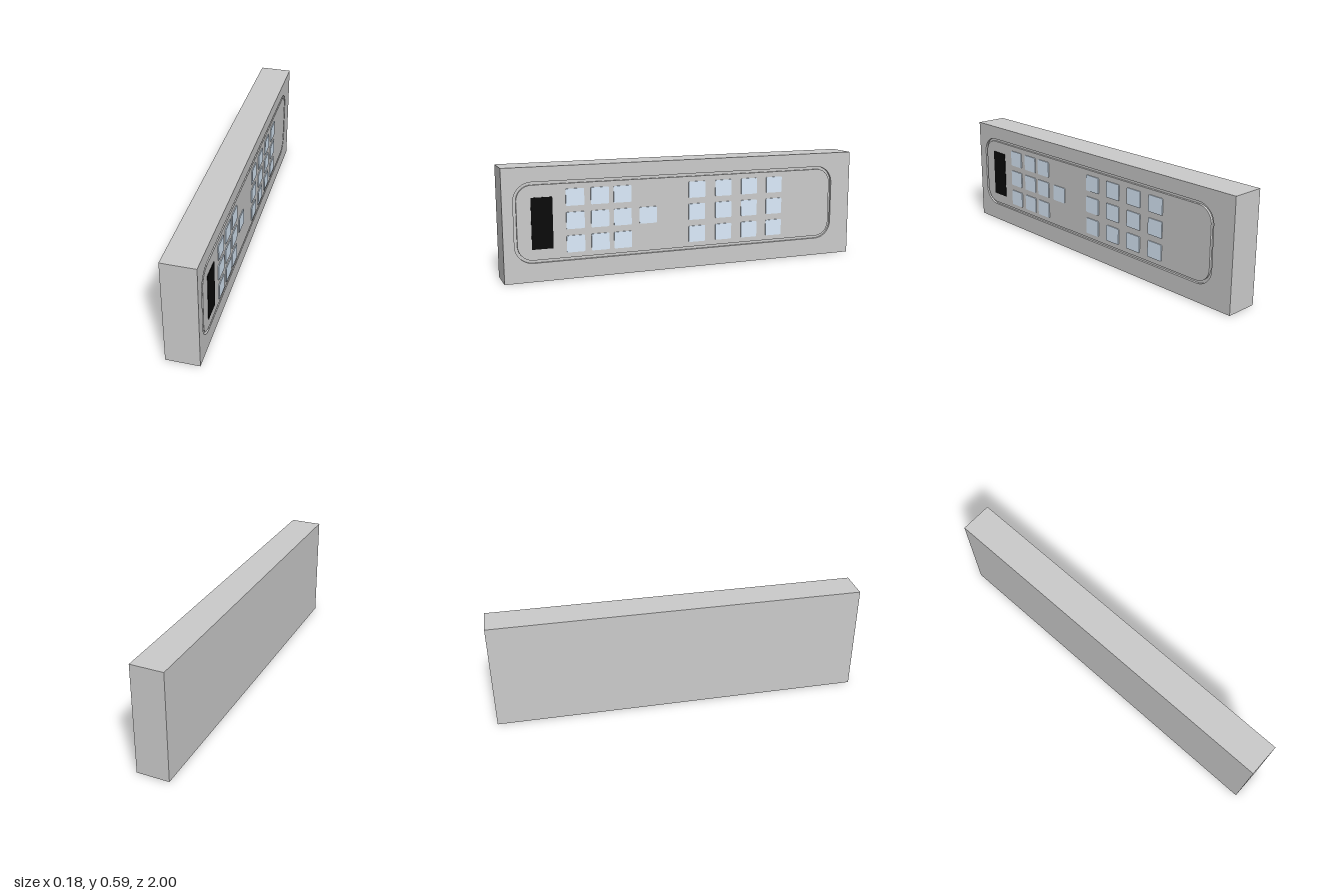
import * as THREE from 'three';

const FACE = 0.085; // x of the control face
const BACK = -0.09;
const GROOVE = 0.012; // groove depth

// Rounded rectangle drawn on the control face: s runs along -z, y is up
function roundedRect(s0, s1, y0, y1, r, Type = THREE.Shape) {
  const p = new Type();
  p.moveTo(s0 + r, y0);
  p.lineTo(s1 - r, y0);
  p.absarc(s1 - r, y0 + r, r, -Math.PI / 2, 0);
  p.lineTo(s1, y1 - r);
  p.absarc(s1 - r, y1 - r, r, 0, Math.PI / 2);
  p.lineTo(s0 + r, y1);
  p.absarc(s0 + r, y1 - r, r, Math.PI / 2, Math.PI);
  p.lineTo(s0, y0 + r);
  p.absarc(s0 + r, y0 + r, r, Math.PI, Math.PI * 1.5);
  return p;
}

// Extrude a face shape along +x between two depths
function slab(name, shape, x0, x1, material) {
  const geo = new THREE.ExtrudeGeometry(shape, { depth: x1 - x0, bevelEnabled: false, curveSegments: 10 });
  geo.rotateY(Math.PI / 2);
  geo.translate(x0, 0, 0);
  const mesh = new THREE.Mesh(geo, material);
  mesh.name = name;
  return mesh;
}

export function createModel() {
  const model = new THREE.Group();
  model.name = 'controlPanel';
  const grey = new THREE.MeshStandardMaterial({ color: 0xcccccc });
  const blue = new THREE.MeshStandardMaterial({ color: 0xdcecfc });
  const black = new THREE.MeshStandardMaterial({ color: 0x0a0a0a });

  // Housing block up to the groove floor
  const housing = new THREE.Mesh(new THREE.BoxGeometry(FACE - GROOVE - BACK, 0.59, 2), grey);
  housing.position.set((FACE - GROOVE + BACK) / 2, 0.295, 0);
  housing.name = 'housing';
  model.add(housing);

  // Face layer: outer frame and inner plate with the groove left between them
  const frame = new THREE.Shape([[-1, 0], [1, 0], [1, 0.59], [-1, 0.59]].map(([s, y]) => new THREE.Vector2(s, y)));
  frame.holes.push(roundedRect(-0.944, 0.88, 0.098, 0.514, 0.095, THREE.Path));
  model.add(slab('faceFrame', frame, FACE - GROOVE, FACE, grey));
  model.add(slab('facePlate', roundedRect(-0.929, 0.865, 0.113, 0.499, 0.08), FACE - GROOVE, FACE, grey));

  // Display window
  const display = new THREE.Mesh(new THREE.BoxGeometry(0.013, 0.266, 0.11), black);
  display.position.set(0.0815, 0.302, 0.801);
  display.name = 'display';
  model.add(display);

  // Buttons: columns of three, except one single button in the middle row
  const buttons = new THREE.Group();
  buttons.name = 'buttons';
  const rows = [0.427, 0.306, 0.184];
  const columns = [-0.629, -0.498, -0.376, -0.236, 0.043, 0.2, 0.355, 0.509];
  columns.forEach((s, c) => {
    rows.forEach((y, r) => {
      if (c === 3 && r !== 1) return;
      const shape = roundedRect(s - 0.048, s + 0.048, y - 0.044, y + 0.044, 0.006);
      buttons.add(slab('button', shape, FACE - 0.005, 0.09, blue));
    });
  });
  model.add(buttons);

  return model;
}
